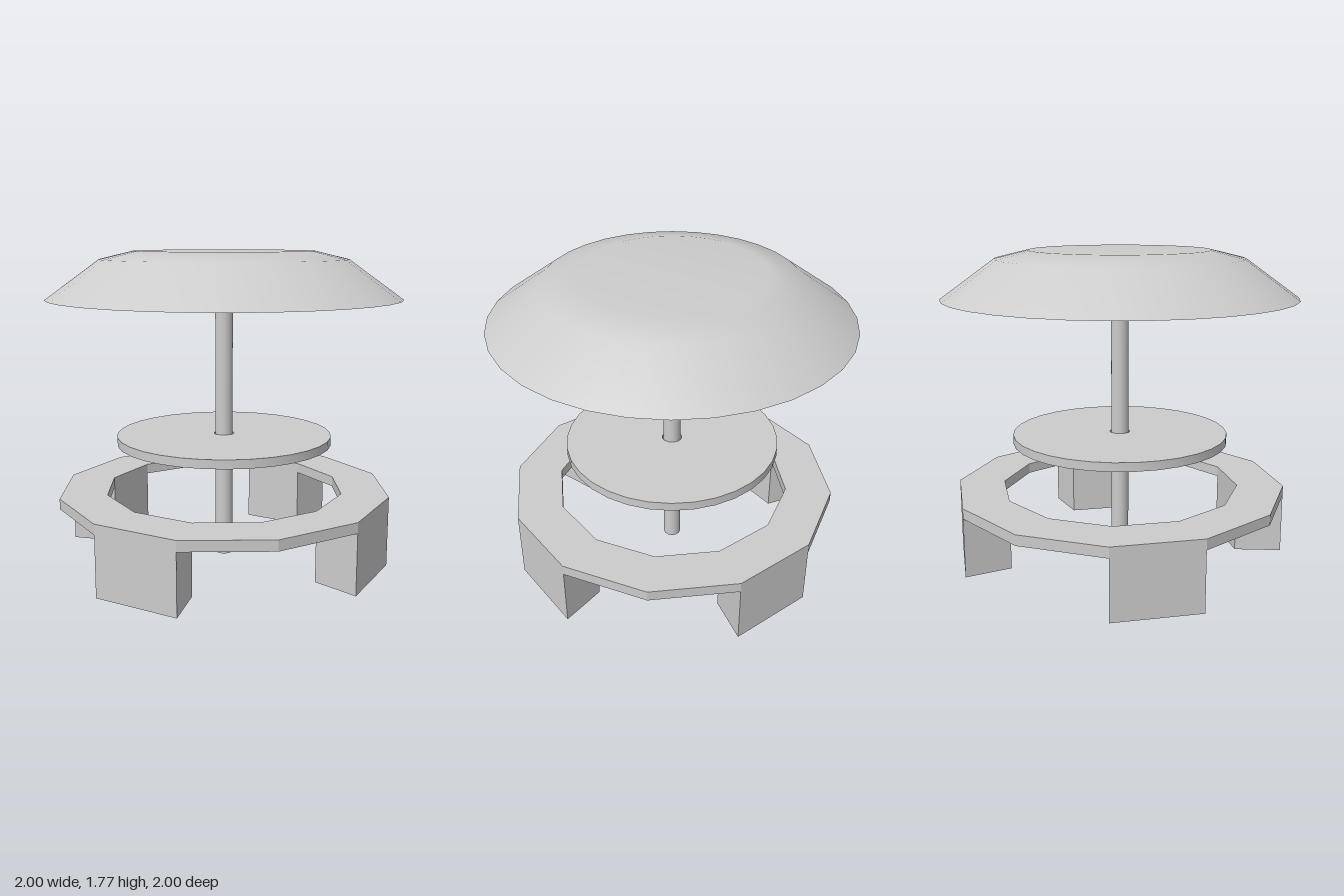
import * as THREE from 'three';
import { toCreasedNormals } from 'three/addons/utils/BufferGeometryUtils.js';

const material = new THREE.MeshStandardMaterial({ color: 0xcccccc });

function addPart(group, name, geometry) {
  const mesh = new THREE.Mesh(geometry, material);
  mesh.name = name;
  group.add(mesh);
  return mesh;
}

// Extrudes a plan outline upwards from y0 to y1 (plan y becomes -z).
function slab(shape, y0, y1, curveSegments = 16) {
  return new THREE.ExtrudeGeometry(shape, { depth: y1 - y0, bevelEnabled: false, curveSegments })
    .rotateX(-Math.PI / 2)
    .translate(0, y0, 0);
}

// Point on a twelve-sided plan.
function corner(radius, i) {
  const a = (i * Math.PI) / 6;
  return new THREE.Vector2(radius * Math.cos(a), radius * Math.sin(a));
}

export function createModel() {
  const model = new THREE.Group();
  model.name = 'shelteredTable';
  const outer = 0.96, inner = 0.69, seatBottom = 0.345, seatTop = 0.405;

  // Twelve-sided bench ring
  const bench = new THREE.Group();
  bench.name = 'bench';
  model.add(bench);
  const sides = [...Array(12).keys()];
  const ring = new THREE.Shape(sides.map((i) => corner(outer, i)));
  ring.holes.push(new THREE.Path(sides.map((i) => corner(inner, i))));
  addPart(bench, 'benchSeat', slab(ring, seatBottom, seatTop));

  // Four block legs, each under one side of the ring
  for (let i = 0; i < 12; i += 3) {
    const foot = new THREE.Shape([
      corner(inner, i), corner(outer, i), corner(outer, i + 1), corner(inner, i + 1),
    ]);
    addPart(bench, 'benchLeg', slab(foot, 0, seatBottom));
  }

  // Centre pole
  addPart(model, 'pole', new THREE.CylinderGeometry(0.05, 0.05, 1.51, 32).translate(0, 0.755, 0));

  // Round table top with a clearance hole for the pole
  const disc = new THREE.Shape().absarc(0, 0, 0.62, 0, Math.PI * 2);
  disc.holes.push(new THREE.Path().absarc(0, 0, 0.057, 0, Math.PI * 2));
  addPart(model, 'tableTop', toCreasedNormals(slab(disc, 0.675, 0.725), 0.6));

  // Canopy: smooth sloping shell with a flat crown
  const profile = [[1, 1.51], [0.7, 1.727], [0.51, 1.773], [0, 1.773]]
    .map(([r, y]) => new THREE.Vector2(r, y));
  addPart(model, 'canopy', new THREE.LatheGeometry(profile, 32));
  addPart(model, 'canopyUnderside',
    new THREE.CircleGeometry(1, 32).rotateX(Math.PI / 2).translate(0, 1.51, 0));

  return model;
}
